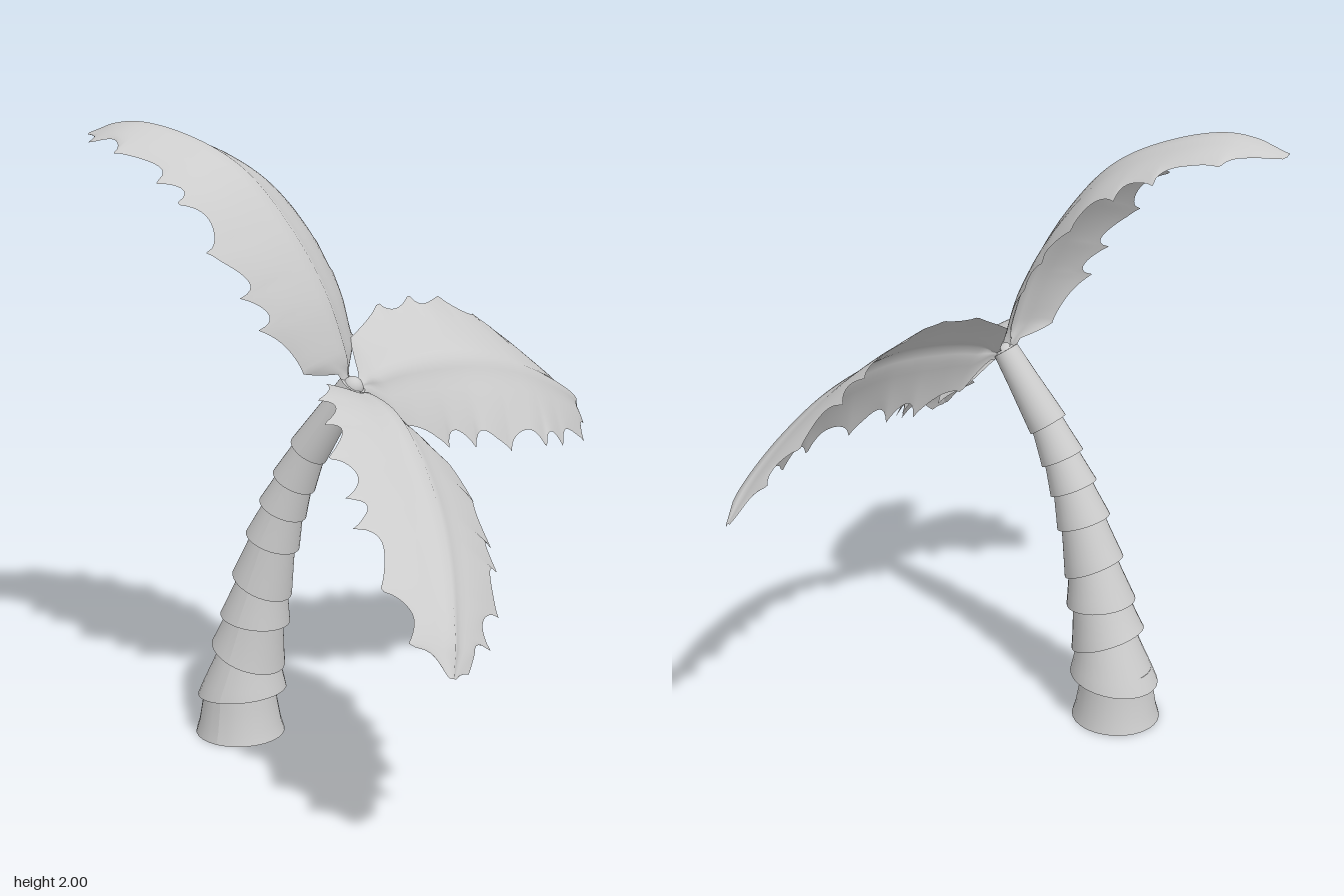
import * as THREE from 'three';

const material = new THREE.MeshStandardMaterial({ color: 0xcccccc });
const leafMaterial = new THREE.MeshStandardMaterial({ color: 0xcccccc, side: THREE.DoubleSide });
const V = (p) => new THREE.Vector3(...p);
const UP = new THREE.Vector3(0, 1, 0);

// Half width of a leaf along its length: [t, width]
const WIDTH = [[0, 0.012], [0.04, 0.03], [0.08, 0.18], [0.2, 0.235], [0.4, 0.265], [0.63, 0.24], [0.8, 0.175], [0.93, 0.105], [1, 0.015]];
function halfWidth(t) {
  const i = Math.max(1, WIDTH.findIndex((w) => w[0] >= t));
  const [a, b] = [WIDTH[i - 1], WIDTH[i]];
  return THREE.MathUtils.mapLinear(t, a[0], b[0], a[1], b[1]);
}

// Arched leaf: drooping cross-sections swept along the midrib, edges cut into uneven hooked teeth
function makeLeaf(path, across, phase, droop) {
  const curve = new THREE.CatmullRomCurve3(path.map(V));
  const rows = 110, cols = 16, teeth = 8;
  const positions = [], index = [];
  for (let i = 0; i <= rows; i++) {
    const t = i / rows;
    const point = curve.getPointAt(t);
    const tangent = curve.getTangentAt(t);
    const side = V(across).addScaledVector(tangent, -V(across).dot(tangent)).normalize();
    const normal = tangent.clone().cross(side);
    const base = halfWidth(t), size = base / 0.25;
    for (let j = 0; j <= cols; j++) {
      const u = (j / cols) * 2 - 1, a = Math.abs(u);
      // Scalloped bites between spikes, spaced unevenly and offset on the two edges
      const s = t * teeth + phase + (u > 0 ? 0.4 : 0);
      const p = (s + 0.2 * Math.sin(s * 2.3) + 1) % 1;
      const bite = Math.sin(Math.PI * p ** 0.75) ** 0.7;
      const width = base + Math.min(0.06, base * 0.45) * (0.6 - bite) * a ** 3;
      // Droop towards the edges, with a raised rounded midrib
      const lift = 0.014 * Math.exp(-((u / 0.12) ** 2)) * Math.min(1, base / 0.1)
        - droop * size * a ** 1.7 - 0.03 * (0.6 - bite) * a ** 4 * size;
      const v = point.clone().addScaledVector(side, u * width).addScaledVector(normal, lift)
        .addScaledVector(tangent, 0.02 * (0.5 - bite) * a ** 4);
      positions.push(v.x, v.y, v.z);
      if (i < rows && j < cols) {
        const k = i * (cols + 1) + j, n = k + cols + 1;
        index.push(k, n, k + 1, k + 1, n, n + 1);
      }
    }
  }
  const geometry = new THREE.BufferGeometry();
  geometry.setAttribute('position', new THREE.Float32BufferAttribute(positions, 3));
  geometry.setIndex(index);
  geometry.computeVertexNormals();
  return new THREE.Mesh(geometry, leafMaterial);
}

// Leaning trunk of overlapping flared rings
function makeTrunk() {
  const trunk = new THREE.Group();
  trunk.name = 'trunk';
  const curve = new THREE.CatmullRomCurve3([
    [-0.335, 0, 0.155], [-0.325, 0.15, 0.155], [-0.29, 0.32, 0.155], [-0.24, 0.54, 0.155],
    [-0.175, 0.76, 0.155], [-0.085, 0.96, 0.155], [0.005, 1.11, 0.155], [0.09, 1.225, 0.15],
  ].map(V));
  // Start along the trunk, bottom radius, top radius, extra tilt
  const rings = [
    [0, 0.147, 0.115, 0], [0.11, 0.142, 0.09, 0.32], [0.215, 0.125, 0.088, -0.15], [0.315, 0.114, 0.076, 0.1],
    [0.41, 0.102, 0.068, -0.15], [0.53, 0.09, 0.06, 0], [0.62, 0.08, 0.054, 0],
    [0.7, 0.073, 0.05, 0], [0.79, 0.065, 0.042, 0],
  ];
  rings.forEach(([start, r, top, tilt], i) => {
    const next = i < rings.length - 1 ? rings[i + 1][0] + 0.03 : 1;
    const from = curve.getPointAt(start);
    const axis = curve.getPointAt(next).sub(from), h = axis.length();
    const profile = [[0, 0], [r, 0], [r, 0], [r * 0.92, h * 0.22], [(r + top) * 0.47, h * 0.6], [top, h], [top, h], [0, h]];
    const geometry = new THREE.LatheGeometry(profile.map((p) => new THREE.Vector2(...p)), 28);
    // Slant the lower rim while the top stays level
    const position = geometry.attributes.position;
    for (let k = 0; k < position.count; k++) {
      const y = position.getY(k);
      position.setY(k, y + tilt * position.getX(k) * (1 - y / h));
    }
    geometry.computeVertexNormals();
    const ring = new THREE.Mesh(geometry, material);
    ring.position.copy(from);
    if (i > 0) ring.quaternion.setFromUnitVectors(UP, axis.normalize());
    ring.name = 'trunkRing' + (i + 1);
    trunk.add(ring);
  });
  return trunk;
}

export function createModel() {
  const model = new THREE.Group();
  model.name = 'palmTree';
  model.add(makeTrunk());

  // Small knot where the leaves meet
  const crown = new THREE.Mesh(new THREE.SphereGeometry(0.034, 16, 10), material);
  crown.position.set(0.088, 1.215, 0.15);
  crown.name = 'crown';
  model.add(crown);

  // Three leaves fanned around the tilted trunk tip
  const leaves = [
    ['rightLeaf', [[0.08, 1.21, 0.15], [0.05, 1.35, 0.165], [0, 1.5, 0.18], [-0.1, 1.68, 0.2], [-0.25, 1.85, 0.215],
      [-0.42, 1.94, 0.225], [-0.62, 1.985, 0.245], [-0.8, 1.955, 0.25]], [0, 0, 1], 0.1, 0.08],
    ['backLeaf', [[0.09, 1.21, 0.15], [0.18, 1.255, 0], [0.3, 1.26, -0.2], [0.375, 1.21, -0.4], [0.415, 1.125, -0.6],
      [0.42, 1.03, -0.8], [0.4, 0.965, -0.92]], [-0.66, 0.75, 0], 0.35, 0.055],
    ['frontLeaf', [[0.09, 1.21, 0.15], [0.3, 1.175, 0.28], [0.5, 1.04, 0.46], [0.65, 0.9, 0.65], [0.75, 0.75, 0.81],
      [0.79, 0.655, 0.88]], [0.6, -0.56, -0.6], 0.6, 0.055],
  ];
  for (const [name, path, across, phase, droop] of leaves) {
    const leaf = makeLeaf(path, across, phase, droop);
    leaf.name = name;
    model.add(leaf);
  }
  return model;
}
